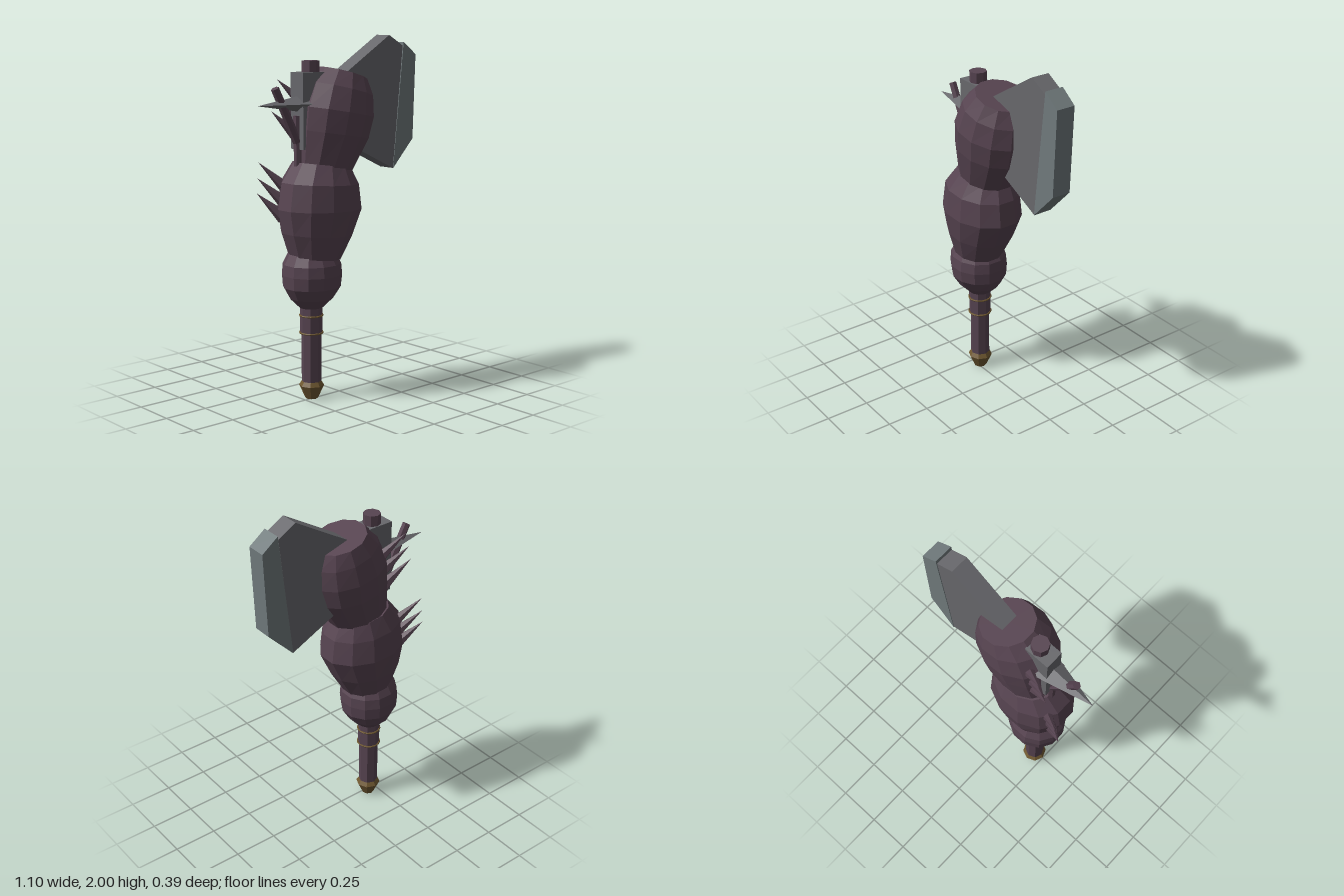
import * as THREE from 'three';

const paint = (name, color, extra = {}) =>
  Object.assign(new THREE.MeshStandardMaterial({ color, flatShading: true, ...extra }), { name });

// Closed loft through tilted elliptical rings: [x, y, z, radiusX, radiusZ, tilt]
function loft(rings, sides = 12) {
  const pos = [], idx = [];
  for (const [x, y, z, rx, rz, tilt] of rings) {
    for (let j = 0; j < sides; j++) {
      const t = ((j + 0.5) / sides) * Math.PI * 2;
      const c = Math.cos(t) * rx / Math.cos(Math.PI / sides);
      pos.push(x + c * Math.cos(tilt), y + c * Math.sin(tilt), z + Math.sin(t) * rz);
    }
  }
  const last = rings.length - 1, bottom = rings.length * sides, top = bottom + 1;
  pos.push(...rings[0].slice(0, 3), ...rings[last].slice(0, 3));
  for (let j = 0; j < sides; j++) {
    const k = (j + 1) % sides;
    for (let i = 0; i < last; i++) {
      const a = i * sides + j, b = i * sides + k, c = a + sides, d = b + sides;
      idx.push(a, c, b, b, c, d);
    }
    idx.push(bottom, j, k, top, last * sides + k, last * sides + j);
  }
  const geo = new THREE.BufferGeometry();
  geo.setAttribute('position', new THREE.Float32BufferAttribute(pos, 3));
  geo.setIndex(idx);
  geo.computeVertexNormals();
  return geo;
}

// Flat plate cut from an outline, centred on depth z
function plate(points, depth, z) {
  const shape = new THREE.Shape(points.map(([x, y]) => new THREE.Vector2(x, y)));
  return new THREE.ExtrudeGeometry(shape, { depth, bevelEnabled: false }).translate(0, 0, z - depth / 2);
}

// Tapered rod between two points
function rod(from, to, r0, r1, sides) {
  const a = new THREE.Vector3(...from), b = new THREE.Vector3(...to);
  const dir = b.clone().sub(a);
  const geo = new THREE.CylinderGeometry(r1, r0, dir.length(), sides);
  const q = new THREE.Quaternion().setFromUnitVectors(new THREE.Vector3(0, 1, 0), dir.normalize());
  const mid = a.add(b).multiplyScalar(0.5);
  return geo.applyQuaternion(q).translate(mid.x, mid.y, mid.z);
}

export function createModel() {
  const hide = paint('dark plum', 0x574451);
  const steel = paint('grey steel', 0x68686c);
  const edge = paint('pale edge steel', 0x707a7c);
  const brass = paint('dark brass', 0x6e5730);

  const model = new THREE.Group();
  model.name = 'warAxe';
  const add = (name, geo, mat) => {
    const mesh = new THREE.Mesh(geo, mat);
    mesh.name = name;
    model.add(mesh);
    return mesh;
  };
  const X = -0.192, Z = -0.015;

  // Handle, collar and the shaft end above the head
  add('handle', rod([X, 0.08, Z], [X, 0.55, Z], 0.055, 0.055, 8), hide);
  add('collar', rod([X, 0.375, Z], [X, 0.55, Z], 0.063, 0.063, 8), hide);
  add('shaftEnd', rod([X, 1.3, Z], [X, 1.87, Z], 0.048, 0.048, 8), hide);

  // Brass fittings
  const pommel = [[0, 0], [0.036, 0], [0.07, 0.075], [0.048, 0.11], [0, 0.11]];
  add('pommel', new THREE.LatheGeometry(pommel.map(p => new THREE.Vector2(...p)), 8).translate(X, 0, Z), brass);
  for (const y of [0.377, 0.475]) {
    add('handleRing', new THREE.TorusGeometry(0.064, 0.005, 6, 16).rotateX(Math.PI / 2).translate(X, y, Z), brass);
  }

  // Three swollen body segments
  add('lowerBulb', loft([
    [X, 0.52, Z, 0.065, 0.065, 0], [X, 0.575, Z, 0.12, 0.12, 0], [X, 0.64, -0.01, 0.158, 0.155, 0],
    [X, 0.71, -0.008, 0.164, 0.162, 0], [X, 0.77, -0.008, 0.16, 0.155, 0], [X, 0.84, -0.008, 0.125, 0.12, 0],
  ]), hide);
  add('middleBulb', loft([
    [-0.18, 0.8, 0, 0.14, 0.14, -0.1], [-0.165, 0.93, 0, 0.2, 0.18, -0.08],
    [-0.143, 1.07, 0, 0.246, 0.203, -0.03], [-0.14, 1.21, 0, 0.226, 0.19, -0.06],
    [-0.12, 1.31, -0.01, 0.165, 0.145, -0.12],
  ]), hide);
  add('upperBulb', loft([
    [-0.11, 1.295, -0.005, 0.165, 0.145, -0.2], [-0.055, 1.47, 0, 0.216, 0.182, -0.16],
    [-0.033, 1.59, 0, 0.227, 0.196, -0.18], [-0.003, 1.71, -0.005, 0.2, 0.18, -0.24],
    [0.025, 1.795, -0.015, 0.146, 0.146, -0.28],
  ]), hide);

  // Axe blade with its sharpened border
  add('blade', plate([[0, 1.79], [0.1, 1.38], [0.375, 1.25], [0.445, 1.94], [0.34, 2]], 0.104, Z), steel);
  add('bladeEdge', plate([[0.375, 1.25], [0.527, 1.41], [0.545, 1.89], [0.45, 1.96]], 0.11, Z), edge);

  // Block and spike opposite the blade
  add('headBlock', new THREE.BoxGeometry(0.148, 0.41, 0.104).translate(-0.212, 1.605, Z), steel);
  const spike = new THREE.ConeGeometry(1, 0.36, 4).rotateZ(Math.PI / 2)
    .scale(1, 0.055, 0.09).translate(-0.37, 1.643, Z);
  add('backSpike', spike, steel);

  // Bent peg beside the block
  add('pegLower', rod([-0.28, 1.24, Z], [-0.285, 1.58, Z], 0.022, 0.022, 6), hide);
  add('pegUpper', rod([-0.285, 1.44, Z], [-0.435, 1.73, Z], 0.025, 0.022, 6), hide);

  // Two rows of thorns on the back
  const thorns = [
    [[-0.3, 1.17, -0.07], [-0.44, 1.33, -0.158]],
    [[-0.32, 1.1, -0.07], [-0.45, 1.245, -0.155]],
    [[-0.34, 1.03, -0.07], [-0.46, 1.165, -0.15]],
    [[-0.17, 1.62, -0.08], [-0.31, 1.77, -0.155]],
    [[-0.2, 1.54, -0.08], [-0.335, 1.685, -0.155]],
    [[-0.22, 1.45, -0.08], [-0.355, 1.6, -0.15]],
  ];
  for (const [base, tip] of thorns) add('thorn', rod(base, tip, 0.038, 0, 6), hide);

  return model;
}
